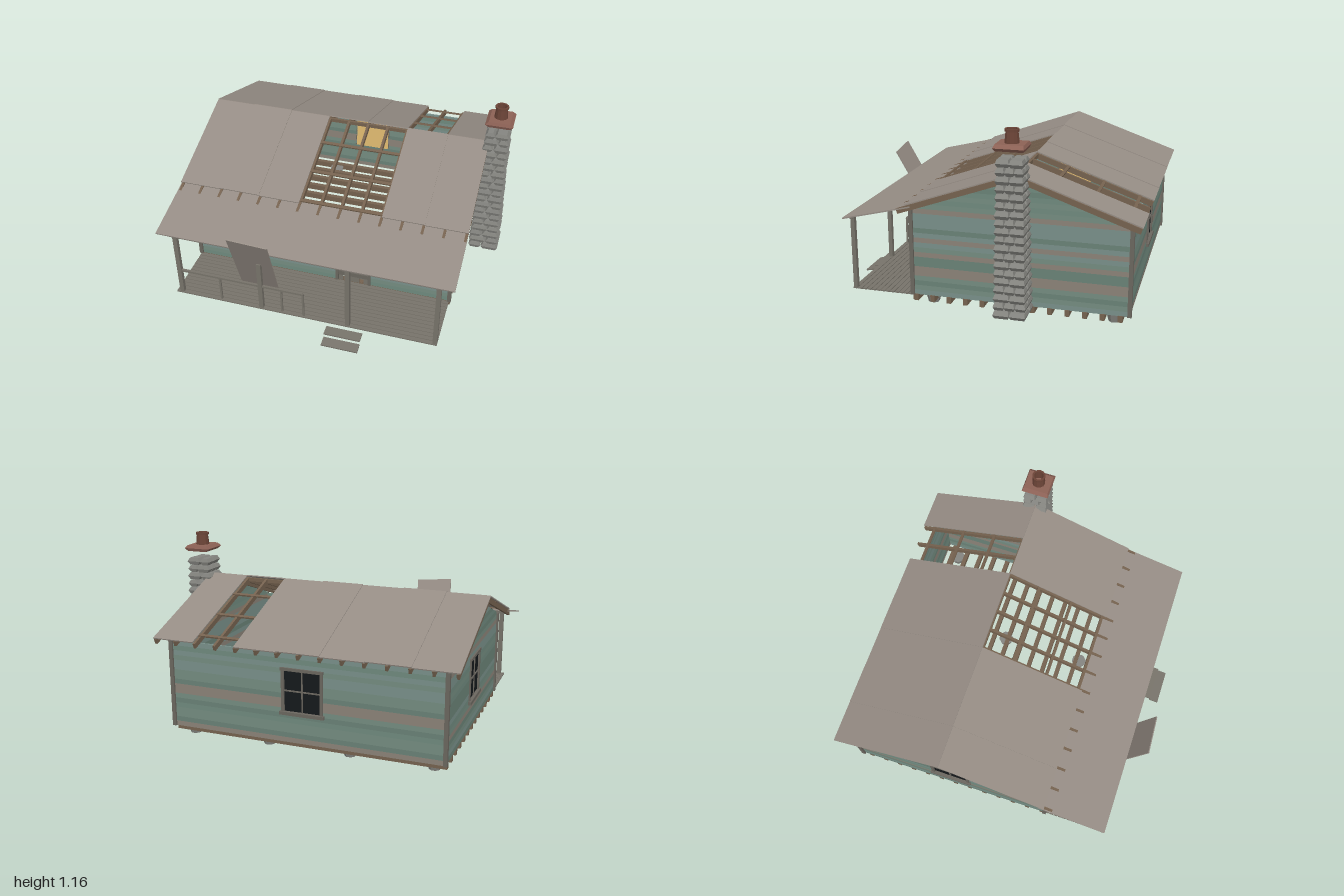
import * as THREE from 'three';
import { mergeGeometries } from 'three/addons/utils/BufferGeometryUtils.js';

const mats = {};
const mat = (c) => (mats[c] ??= new THREE.MeshStandardMaterial({ color: c, flatShading: true, side: THREE.DoubleSide }));
const WOOD = 0x77736a, TRIM = 0x6b675f, BEAM = 0x75624f, TIN = 0x968d85, STONE = 0x858580;
const RUST = 0x8c6155, GLASS = 0x15191c, GLOW = 0xe3bd72;
const SIDING = [0x6f8a7e, 0x79908a, 0x6a8277, 0x8b8378, 0x748c80];

// House extents, ridge and slope
const X0 = -0.92, X1 = 0.775, Z0 = -0.878, Z1 = 0.426, CX = (X0 + X1) / 2, CZ = -0.226;
const RIDGE = 0.893, SLOPE = 0.352;
const roofY = (z) => RIDGE - Math.abs(z - CZ) * SLOPE;

let seed = 7;
const rand = () => (seed = (seed * 16807) % 2147483647) / 2147483647;

function add(parent, name, geo, color) {
  const m = new THREE.Mesh(geo, mat(color));
  m.name = name;
  parent.add(m);
  return m;
}
function box(parent, name, color, x0, x1, y0, y1, z0, z1) {
  const m = add(parent, name, new THREE.BoxGeometry(x1 - x0, y1 - y0, z1 - z0), color);
  m.position.set((x0 + x1) / 2, (y0 + y1) / 2, (z0 + z1) / 2);
  return m;
}
// Sloped slab whose upper face runs from (za, ya) to (zb, yb), with za < zb
function slab(parent, name, color, x0, x1, za, ya, zb, yb, t) {
  const a = -Math.atan2(yb - ya, zb - za);
  const m = add(parent, name, new THREE.BoxGeometry(x1 - x0, t, Math.hypot(zb - za, yb - ya)), color);
  m.rotation.x = a;
  m.position.set((x0 + x1) / 2, (ya + yb) / 2 - Math.cos(a) * t / 2, (za + zb) / 2 - Math.sin(a) * t / 2);
  return m;
}
function roofSlab(parent, name, color, x0, x1, za, zb, lift, t) {
  return slab(parent, name, color, x0, x1, za, roofY(za) + lift, zb, roofY(zb) + lift, t);
}

// Wall of horizontal boards: half width at each height, with rectangular openings [u0, u1, y0, y1]
function wall(parent, name, half, top, openings, x, z, turn) {
  const g = new THREE.Group(), byColor = {};
  g.name = name;
  for (let y = 0.08; y < top - 0.001; y += 0.03) {
    const y1 = Math.min(y + 0.03, top), mid = (y + y1) / 2;
    const cuts = openings.filter((o) => mid > o[2] && mid < o[3]).sort((a, b) => a[0] - b[0]);
    const color = SIDING[Math.floor(rand() * SIDING.length)];
    let a = [-half(y), -half(y1)];
    for (const c of [...cuts, null]) {
      const b = c ? [c[0], c[0]] : [half(y), half(y1)];
      const s = new THREE.Shape();
      s.moveTo(a[0], y); s.lineTo(b[0], y); s.lineTo(b[1], y1); s.lineTo(a[1], y1);
      const e = new THREE.ExtrudeGeometry(s, { depth: 0.012, bevelEnabled: false });
      e.translate(0, 0, -0.012);
      (byColor[color] ??= []).push(e);
      if (c) a = [c[1], c[1]];
    }
  }
  for (const c in byColor) add(g, 'sidingBoards', mergeGeometries(byColor[c]), Number(c));
  g.position.set(x, 0, z);
  g.rotation.y = turn;
  parent.add(g);
  return g;
}
function windowUnit(parent, u) {
  const g = new THREE.Group();
  g.name = 'window';
  const w = 0.12, y0 = 0.26, y1 = 0.53;
  box(g, 'pane', GLASS, -w, w, y0, y1, -0.008, -0.003);
  box(g, 'innerBlind', GLOW, -w, w, y0, y1, -0.016, -0.012);
  for (const s of [-1, 1]) box(g, 'jamb', TRIM, s * w - 0.009, s * w + 0.009, y0, y1, -0.012, 0.008);
  box(g, 'head', TRIM, -w - 0.012, w + 0.012, y1 - 0.012, y1 + 0.006, -0.012, 0.01);
  box(g, 'sill', TRIM, -w - 0.018, w + 0.018, y0 - 0.008, y0 + 0.012, -0.012, 0.018);
  box(g, 'muntin', TRIM, -0.004, 0.004, y0, y1, -0.004, 0.003);
  box(g, 'muntin', TRIM, -w, w, 0.393, 0.401, -0.004, 0.003);
  g.position.x = u;
  parent.add(g);
}
// Block pinched at top and bottom, widest at mid height
function pinched(w, h, d, px, pz) {
  const geo = new THREE.BoxGeometry(w, h, d, 1, 2, 1), p = geo.attributes.position;
  for (let i = 0; i < p.count; i++) if (Math.abs(p.getY(i)) > h * 0.3) {
    p.setX(i, p.getX(i) - Math.sign(p.getX(i)) * px);
    p.setZ(i, p.getZ(i) - Math.sign(p.getZ(i)) * pz);
  }
  return geo;
}

export function createModel() {
  const model = new THREE.Group();
  model.name = 'cabin';

  // Walls, openings and corner boards
  const long = () => (X1 - X0) / 2;
  const gable = (y) => Math.max(0.0005, Math.min((Z1 - Z0) / 2, (0.862 - y) / SLOPE));
  const hole = (u) => [u - 0.12, u + 0.12, 0.259, 0.531];
  const front = wall(model, 'frontWall', long, 0.62, [hole(-0.5 - CX), hole(0.64 - CX), [0.04 - CX, 0.25 - CX, 0, 0.531]], CX, Z1, 0);
  windowUnit(front, -0.5 - CX);
  windowUnit(front, 0.64 - CX);
  windowUnit(wall(model, 'backWall', long, 0.62, [hole(0)], CX, Z0, Math.PI), 0);
  windowUnit(wall(model, 'leftGable', gable, 0.862, [hole(0)], X0, CZ, -Math.PI / 2), 0);
  wall(model, 'rightGable', gable, 0.862, [], X1, CZ, Math.PI / 2);
  for (const x of [X0, X1]) for (const z of [Z0, Z1])
    box(model, 'cornerBoard', TRIM, x - 0.012, x + 0.012, 0.08, 0.625, z - 0.012, z + 0.012);

  // Plank door with Z brace
  const door = new THREE.Group();
  door.name = 'door';
  for (const x of [0.048, 0.088, 0.128, 0.155, 0.215])
    box(door, 'doorPlank', WOOD, x, x + 0.03, 0.085, 0.515, 0.424, 0.432);
  for (const y of [0.15, 0.45]) box(door, 'doorRail', TRIM, 0.048, 0.245, y - 0.015, y + 0.015, 0.432, 0.44);
  const brace = box(door, 'doorBrace', TRIM, -0.175, 0.175, -0.011, 0.011, 0.432, 0.439);
  brace.position.set(0.146, 0.3, 0.436);
  brace.rotation.z = 1.0;
  for (const x of [0.036, 0.251]) box(door, 'doorJamb', TRIM, x - 0.008, x + 0.008, 0.08, 0.53, 0.41, 0.436);
  model.add(door);

  // Floor joists and stone piers
  for (let i = 0; i < 13; i++) {
    const z = -0.825 + i * 0.1025;
    box(model, 'floorJoist', BEAM, X0, X1 + 0.005, 0.042, 0.082, z - 0.014, z + 0.014);
  }
  box(model, 'frontSill', BEAM, X0, X1, 0.045, 0.08, 0.405, 0.425);
  for (const x of [-0.835, -0.33, 0.185, 0.69]) for (const z of [0.325, -0.225, -0.78]) {
    const stone = add(model, 'pierStone', new THREE.CylinderGeometry(0.05, 0.034, 0.062, 8), STONE);
    stone.position.set(x, 0.043, z);
    stone.rotation.y = Math.PI / 8;
  }

  // Porch floor, posts and rail
  for (let i = 0; i < 13; i++) {
    const z = 0.43 + i * 0.0302;
    box(model, 'porchPlank', WOOD, X0, X1, 0.073, 0.081, z, z + 0.026);
  }
  for (const x of [-0.885, -0.345, 0.215, 0.762]) {
    const top = x === -0.345 ? 0.44 : 0.545;
    box(model, 'porchPost', WOOD, x - 0.014, x + 0.014, 0.08, top, 0.79, 0.815);
  }
  box(model, 'porchHeader', WOOD, X0, 0.79, 0.525, 0.545, 0.793, 0.812);
  box(model, 'porchRail', WOOD, -0.885, -0.07, 0.25, 0.264, 0.796, 0.81);
  for (const x of [-0.615, -0.21, -0.07]) box(model, 'railPost', WOOD, x - 0.006, x + 0.006, 0.08, 0.26, 0.797, 0.809);

  // Steps
  slab(model, 'upperStep', WOOD, 0.085, 0.315, 0.822, 0.05, 0.885, 0.046, 0.009);
  slab(model, 'lowerStep', WOOD, 0.085, 0.315, 0.885, 0.019, 0.945, 0.009, 0.009);

  // Rafters, purlins and ridge beam
  for (let i = 0; i < 15; i++) {
    const x = -0.985 + i * 0.1307;
    roofSlab(model, 'rafter', BEAM, x - 0.008, x + 0.008, -0.94, CZ, -0.008, 0.032);
    roofSlab(model, 'rafter', BEAM, x - 0.008, x + 0.008, CZ, 0.487, -0.008, 0.032);
  }
  for (const d of [0.2, 0.42, 0.635]) for (const s of [-1, 1]) {
    const z = CZ + s * d;
    roofSlab(model, 'purlin', BEAM, -0.995, 0.85, z - 0.009, z + 0.009, -0.002, 0.01);
  }
  box(model, 'ridgeBeam', BEAM, -0.995, 0.85, 0.86, 0.882, CZ - 0.009, CZ + 0.009);

  // Sheet roofing with missing sheets on both slopes
  for (let i = 0; i < 7; i++) {
    const x0 = -1 + i * 0.265, x1 = x0 + 0.265, lift = (i % 2) * 0.004;
    if (i !== 5) roofSlab(model, 'backRoofSheet', TIN, x0, x1, -0.945, CZ, lift + 0.004, 0.007);
    if (i !== 3 && i !== 4) roofSlab(model, 'frontRoofSheet', TIN, x0, x1, CZ, 0.435, lift + 0.002, 0.007);
  }
  slab(model, 'porchRoof', TIN, -1, 0.855, 0.4, 0.655, 0.83, 0.55, 0.008);

  // Loose sheet leaning through the porch edge
  const tl = new THREE.Vector3(-0.472, 0.713, 0.942), tr = new THREE.Vector3(-0.226, 0.69, 0.93);
  const bl = new THREE.Vector3(-0.556, 0.048, 0.605);
  const across = tr.clone().sub(tl), up = tl.clone().sub(bl);
  const loose = add(model, 'looseSheet', new THREE.BoxGeometry(across.length(), up.length(), 0.007), TIN);
  loose.position.copy(bl).add(tr).multiplyScalar(0.5);
  const ex = across.clone().normalize(), ez = ex.clone().cross(up).normalize();
  loose.quaternion.setFromRotationMatrix(new THREE.Matrix4().makeBasis(ex, ez.clone().cross(ex), ez));

  // Stone chimney in alternating courses
  const stones = [], courses = 19, step = 0.0487;
  for (let i = 0; i < courses; i++) {
    const k = i / (courses - 1), xa = 0.8 + 0.028 * k, xb = 0.992 - 0.012 * k;
    const za = -0.325 + 0.018 * k, zb = -0.133 - 0.016 * k, n = 2 + (i % 2);
    const split = xa + (xb - xa) * (0.42 + 0.16 * (i % 2));
    for (const [u, v] of [[xa, split], [split, xb]]) for (let j = 0; j < n; j++) {
      const d = (zb - za) / n, geo = pinched(v - u, step * (0.86 + rand() * 0.08), d - 0.002, 0.015, 0.007);
      geo.translate((u + v) / 2 + (rand() - 0.5) * 0.008, 0.1 + i * step, za + d * (j + 0.5));
      stones.push(geo);
    }
  }
  add(model, 'chimneyStones', mergeGeometries(stones), STONE);
  add(model, 'chimneyCap', pinched(0.172, 0.038, 0.175, 0.02, 0.008), RUST).position.set(0.91, 1.064, -0.228);
  const flue = [[0.043, 1.08], [0.036, 1.145], [0.042, 1.146], [0.042, 1.16], [0.03, 1.16], [0.03, 1.085]];
  add(model, 'chimneyPot', new THREE.LatheGeometry(flue.map(([r, y]) => new THREE.Vector2(r, y)), 12), 0x6b4437)
    .position.set(0.91, 0, -0.228);

  return model;
}
